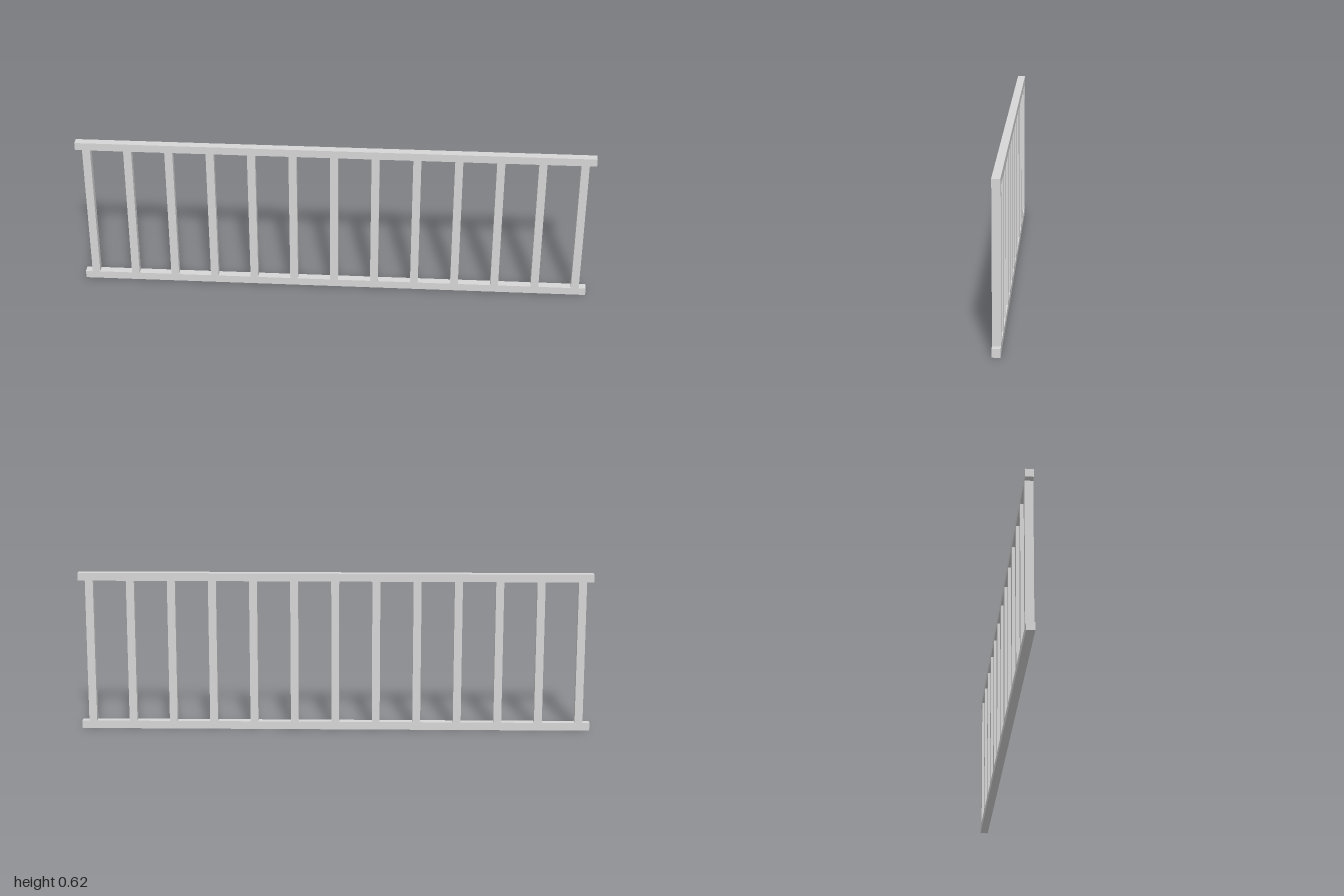
import * as THREE from 'three';

const HEIGHT = 0.625;
const THICK = 0.031; // square section of rails and bars
const BAR_COUNT = 13;
const BAR_SPAN = 1.914; // between the centres of the end bars

export function createModel() {
  const model = new THREE.Group();
  model.name = 'railing';
  const metal = new THREE.MeshStandardMaterial({ color: 0xd6d6d6 });
  metal.name = 'light grey metal';

  const addPart = (name, geometry, x, y) => {
    const mesh = new THREE.Mesh(geometry, metal);
    mesh.name = name;
    mesh.position.set(x, y, 0);
    model.add(mesh);
  };

  // Horizontal rails
  const rail = new THREE.BoxGeometry(2, THICK, THICK);
  addPart('bottomRail', rail, 0, THICK / 2);
  addPart('topRail', rail, 0, HEIGHT - THICK / 2);

  // Evenly spaced upright bars between the rails
  const bar = new THREE.BoxGeometry(THICK, HEIGHT - 2 * THICK, THICK);
  for (let i = 0; i < BAR_COUNT; i++) {
    addPart(`bar${i + 1}`, bar, (i / (BAR_COUNT - 1) - 0.5) * BAR_SPAN, HEIGHT / 2);
  }
  return model;
}
